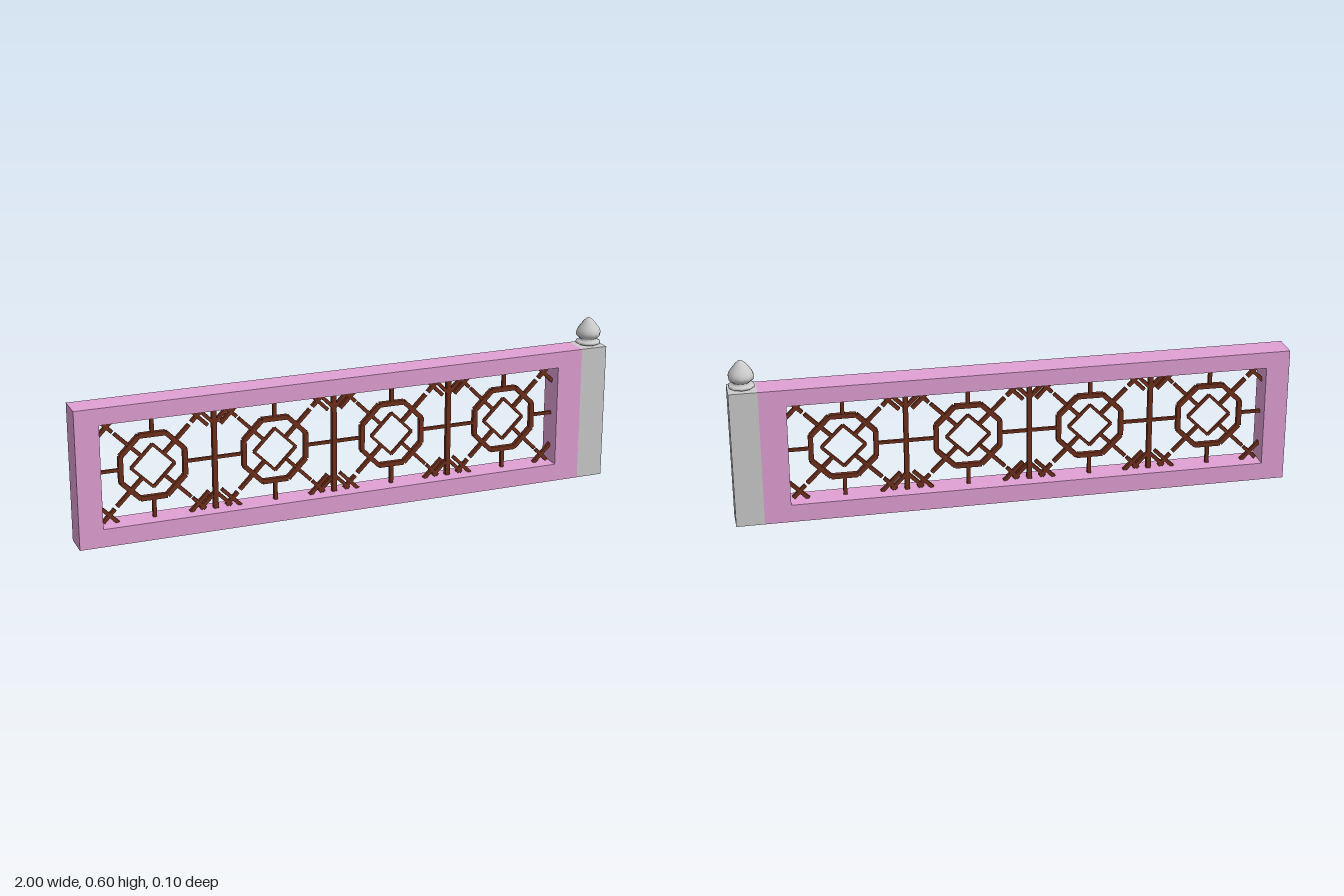
import * as THREE from 'three';

export function createModel() {
  const model = new THREE.Group();
  const pink = new THREE.MeshStandardMaterial({ color: 0xe0a0d4 });
  const brown = new THREE.MeshStandardMaterial({ color: 0x6e2f1c });
  const grey = new THREE.MeshStandardMaterial({ color: 0xcccccc });
  const add = (parent, name, geometry, material) => {
    const mesh = new THREE.Mesh(geometry, material);
    mesh.name = name;
    parent.add(mesh);
    return mesh;
  };

  // Frame with one wide opening
  const left = -0.915, right = 0.805, bottom = 0.065, top = 0.44;
  const outline = new THREE.Shape([[-1, 0], [0.9, 0], [0.9, 0.5], [-1, 0.5]].map(p => new THREE.Vector2(...p)));
  outline.holes.push(new THREE.Path([[left, bottom], [left, top], [right, top], [right, bottom]].map(p => new THREE.Vector2(...p))));
  const frame = new THREE.ExtrudeGeometry(outline, { depth: 0.1, bevelEnabled: false });
  add(model, 'frame', frame.translate(0, 0, -0.05), pink);

  // End post
  add(model, 'post', new THREE.BoxGeometry(0.1, 0.5, 0.1), grey).position.set(0.95, 0.25, 0);

  // Bud-shaped finial; the collar and bud share one turned profile
  const profile = [
    [0, 0.504], [0.038, 0.504], [0.046, 0.508], [0.046, 0.515], [0.038, 0.518],
    [0.026, 0.522], [0.035, 0.529], [0.044, 0.537], [0.046, 0.548], [0.042, 0.56],
    [0.033, 0.573], [0.019, 0.591], [0.009, 0.6], [0, 0.604],
  ].map(p => new THREE.Vector2(...p));
  add(model, 'finial', new THREE.LatheGeometry(profile, 10), grey).position.x = 0.95;

  // Straight lattice bar between two points in the panel plane
  const bar = (parent, name, x1, y1, x2, y2, w) => {
    const length = Math.hypot(x2 - x1, y2 - y1);
    const mesh = add(parent, name, new THREE.BoxGeometry(length, w, w), brown);
    mesh.position.set((x1 + x2) / 2, (y1 + y2) / 2, 0);
    mesh.rotation.z = Math.atan2(y2 - y1, x2 - x1);
  };

  // Closed ring of bars on a regular polygon
  const ring = (parent, name, radius, sides, turn, w) => {
    for (let i = 0; i < sides; i++) {
      const a = turn + (i / sides) * Math.PI * 2, b = turn + ((i + 1) / sides) * Math.PI * 2;
      bar(parent, name, radius * Math.cos(a), radius * Math.sin(a), radius * Math.cos(b), radius * Math.sin(b), w);
    }
  };

  // Four repeated lattice panels
  const pitch = 0.443, midY = 0.254, halfH = (top - bottom) / 2;
  for (let i = 0; i < 4; i++) {
    const panel = new THREE.Group();
    panel.name = 'latticePanel';
    panel.position.set(-0.72 + i * pitch, midY, 0);
    model.add(panel);
    ring(panel, 'octagon', 0.124, 8, Math.PI / 8, 0.017);
    ring(panel, 'diamond', 0.078, 4, 0, 0.01);

    for (const s of [-1, 1]) {
      const reach = i === 0 && s < 0 ? 0.196 : i === 3 && s > 0 ? 0.197 : pitch / 2;
      bar(panel, 'horizontalBar', s * 0.115, 0, s * reach, 0, 0.011);
      bar(panel, 'verticalBar', 0, s * 0.115, 0, s * halfH, 0.013);
      for (const t of [-1, 1]) {
        // Diagonal spoke, then a T-shaped corner piece
        bar(panel, 'diagonalSpoke', s * 0.039, t * 0.039, s * 0.132, t * 0.132, 0.013);
        bar(panel, 'cornerStem', s * 0.14, t * 0.14, s * 0.183, t * 0.183, 0.013);
        bar(panel, 'cornerBar', s * 0.13, t * 0.19, s * 0.198, t * 0.122, 0.013);
        if (reach > 0.2) bar(panel, 'cornerBrace', s * 0.165, t * 0.183, s * 0.22, t * 0.128, 0.013);
      }
    }
    if (i < 3) bar(panel, 'divider', pitch / 2, -halfH, pitch / 2, halfH, 0.017);
  }
  return model;
}
